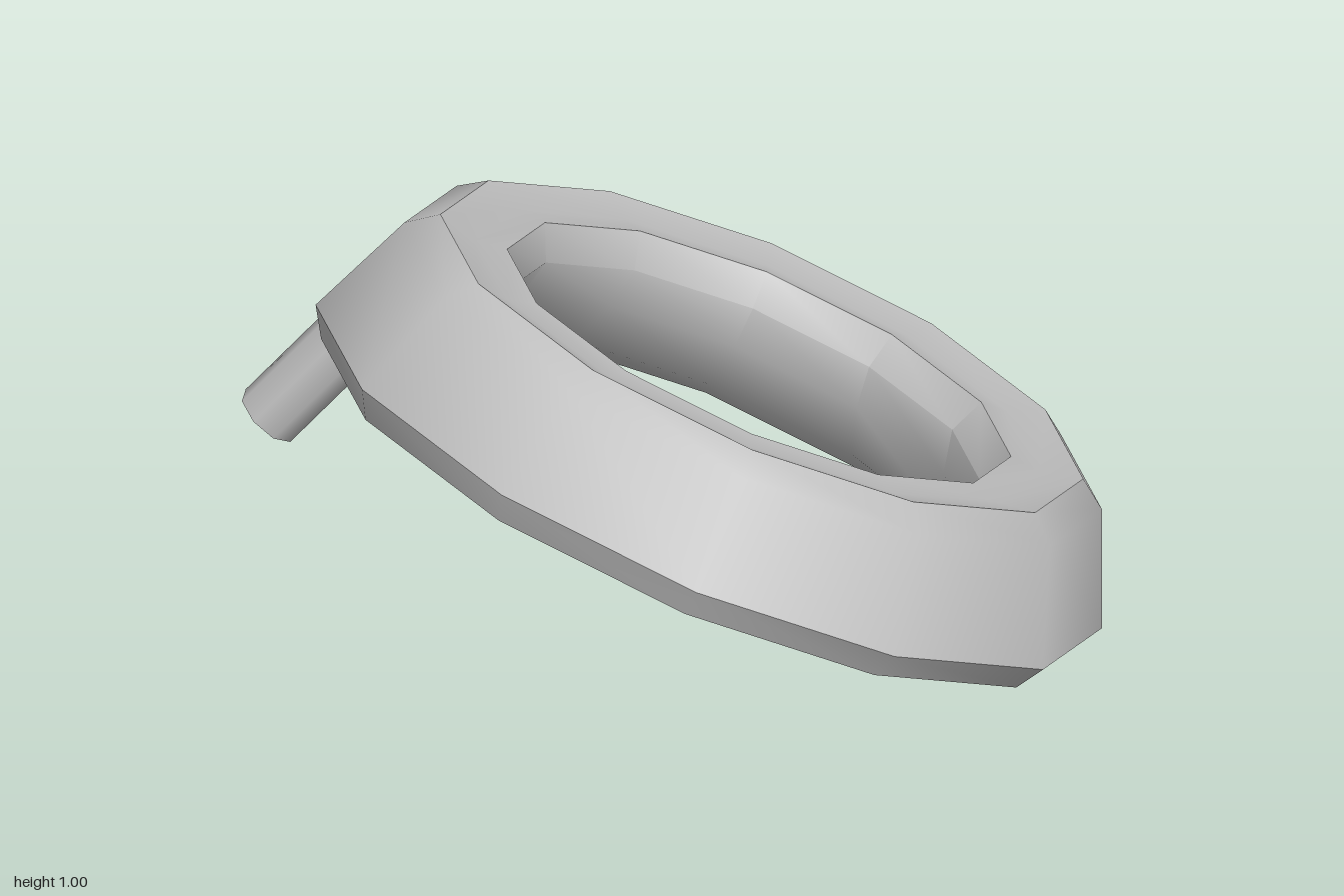
import * as THREE from 'three';
import { toCreasedNormals } from 'three/addons/utils/BufferGeometryUtils.js';

export function createModel() {
  const group = new THREE.Group();
  const grey = new THREE.MeshStandardMaterial({ color: 0xc0c0c0, side: THREE.DoubleSide });
  grey.name = 'grey';

  // Twelve-sided ring: closed cross-section of [radius, height along the ring axis]
  const section = [
    [0.72, -0.065], [0.80, -0.075], [0.865, -0.065], [0.905, 0], [0.803, 0.243],
    [0.74, 0.29], [0.65, 0.267], [0.58, 0.275], [0.54, 0.2], [0.565, 0.1],
    [0.64, -0.02], [0.72, -0.065],
  ].map(([r, h]) => new THREE.Vector2(r, h));
  const ring = new THREE.Mesh(toCreasedNormals(new THREE.LatheGeometry(section, 12), 0.85), grey);
  ring.name = 'ring';

  // Tilt: down towards the left and the back
  const axis = new THREE.Vector3(0.244, 0.906, -0.346).normalize();
  const front = new THREE.Vector3(0.967, -0.2265, 0.088).cross(axis).normalize();
  const side = new THREE.Vector3().crossVectors(axis, front);
  ring.quaternion.setFromRotationMatrix(new THREE.Matrix4().makeBasis(side, axis, front));
  ring.position.set(0.125, 0.425, 0);
  group.add(ring);

  // Open tube handle running from its free end into the ring
  const start = new THREE.Vector3(-0.935, 0.275, 0.055);
  const end = new THREE.Vector3(-0.65, 0.64, -0.075);
  const dir = end.clone().sub(start);
  const handle = new THREE.Mesh(
    new THREE.CylinderGeometry(0.074, 0.074, dir.length(), 8, 1, true), grey);
  handle.name = 'handle';
  handle.position.copy(start).add(end).multiplyScalar(0.5);
  handle.quaternion.setFromUnitVectors(new THREE.Vector3(0, 1, 0), dir.normalize());
  group.add(handle);

  return group;
}
